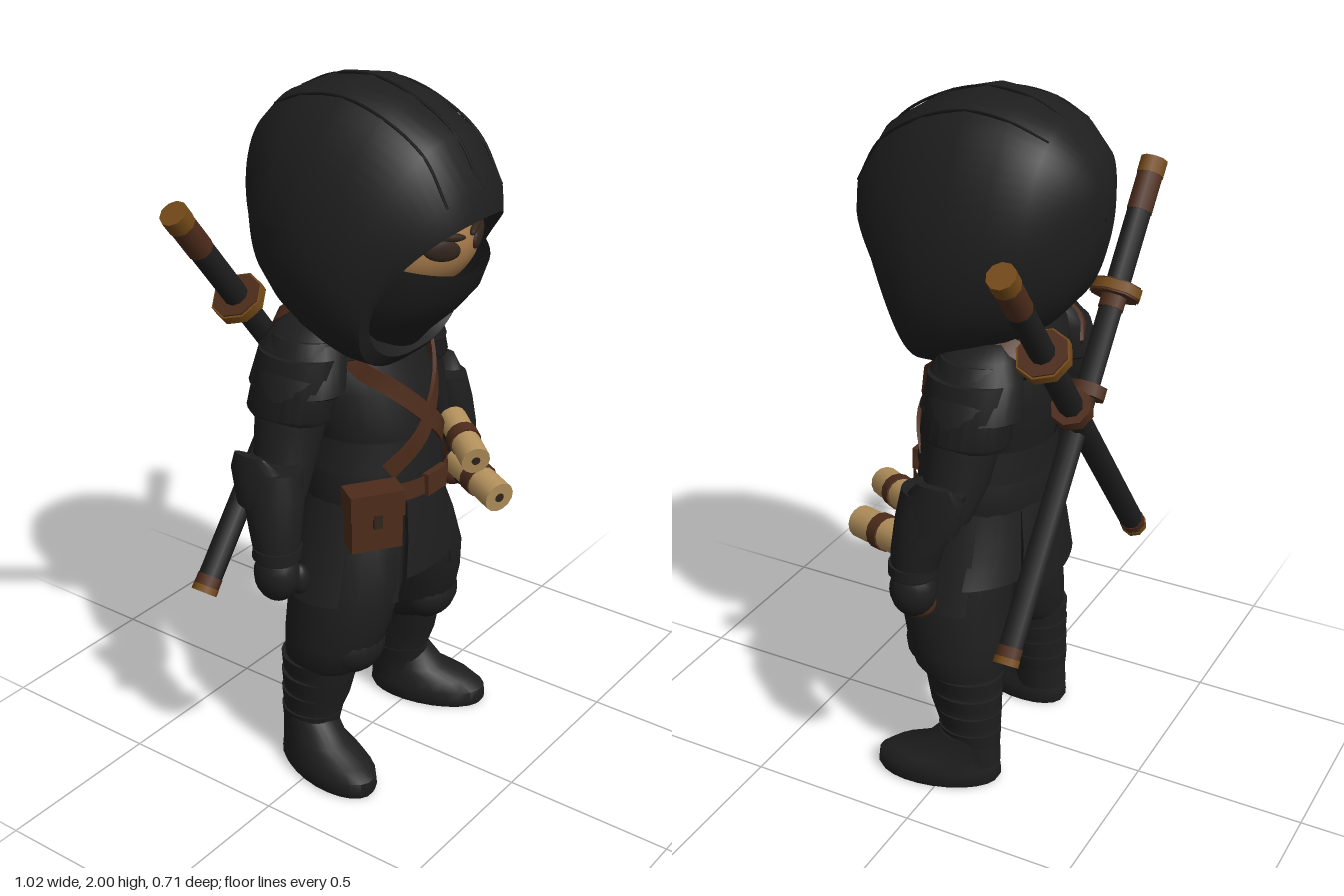
import * as THREE from 'three';
import { toCreasedNormals } from 'three/addons/utils/BufferGeometryUtils.js';

const V = (x, y, z) => new THREE.Vector3(x, y, z);
const mat = (name, color) => {
  const m = new THREE.MeshStandardMaterial({ color, side: THREE.DoubleSide });
  m.name = name;
  return m;
};

// Skin over a row of closed rings with equal point counts
function loft(rings, caps = true) {
  const n = rings[0].length, pos = [], idx = [];
  rings.forEach(r => r.forEach(p => pos.push(p.x, p.y, p.z)));
  for (let i = 0; i < rings.length - 1; i++) for (let j = 0; j < n; j++) {
    const k = (j + 1) % n, a = i * n + j, b = i * n + k, c = b + n, d = a + n;
    idx.push(a, b, c, a, c, d);
  }
  if (caps) [0, rings.length - 1].forEach((ri, top) => {
    const c = rings[ri].reduce((s, p) => s.add(p), V(0, 0, 0)).divideScalar(n);
    const ci = pos.length / 3;
    pos.push(c.x, c.y, c.z);
    for (let j = 0; j < n; j++) {
      const a = ri * n + j, b = ri * n + (j + 1) % n;
      top ? idx.push(ci, a, b) : idx.push(ci, b, a);
    }
  });
  const g = new THREE.BufferGeometry();
  g.setAttribute('position', new THREE.Float32BufferAttribute(pos, 3));
  g.setIndex(idx);
  return toCreasedNormals(g, 0.8);
}

// Horizontal ellipses: rows of [y, cx, cz, rx, rz], from low to high
const column = (rows, n = 24) => loft(rows.map(([y, cx, cz, rx, rz]) =>
  Array.from({ length: n }, (_, j) => {
    const a = j / n * Math.PI * 2;
    return V(cx + rx * Math.sin(a), y, cz + rz * Math.cos(a));
  })));

// Curved plate over an angle range: rows of [y, cz, rx, rz, edgeRise]; 0 is the front
function plate(a0, a1, rows, thick = 0.015, n = 14) {
  const arc = ([y, cz, rx, rz, rise = 0], t) => Array.from({ length: n + 1 }, (_, j) => {
    const a = a0 + (a1 - a0) * j / n;
    return V((rx - t) * Math.sin(a), y + rise * Math.sin(a) ** 2, cz + (rz - t) * Math.cos(a));
  });
  return loft(rows.map(r => [...arc(r, 0), ...arc(r, thick).reverse()]), false);
}

export function createModel() {
  const root = new THREE.Group();
  const cloth = mat('black cloth', 0x1e1e1e), seam = mat('dark seam', 0x151515);
  const leather = mat('brown leather', 0x4d2c1b), gold = mat('aged brass', 0x744a18);
  const skin = mat('skin', 0xa67a4c), eyeDark = mat('eye shadow', 0x32251c);
  const paper = mat('scroll paper', 0xb5925d);
  const add = (name, geo, m, parent = root) => {
    const o = new THREE.Mesh(geo, m);
    o.name = name;
    parent.add(o);
    return o;
  };
  const blob = (name, p, r, m, parent) => {
    const o = add(name, new THREE.SphereGeometry(1, 18, 12), m, parent);
    o.position.set(...p);
    o.scale.set(...r);
    return o;
  };
  const rod = (name, a, b, r, m, parent = root, sides = 14) => {
    const o = add(name, new THREE.CylinderGeometry(r, r, a.distanceTo(b), sides), m, parent);
    o.position.copy(a).lerp(b, 0.5);
    o.quaternion.setFromUnitVectors(V(0, 1, 0), b.clone().sub(a).normalize());
    return o;
  };

  // Hood: tilted sections [topZ, topY, bottomZ, bottomY, halfWidth, egg, bow] from face rim to back
  const sections = [
    [0.29, 1.68, 0.12, 1.31, 0.215, 0, 0.06], [0.35, 1.685, 0.15, 1.28, 0.235, 0.02, 0.07],
    [0.338, 1.76, 0.12, 1.25, 0.262, 0.1, 0.05], [0.26, 1.885, 0.06, 1.26, 0.288, 0.18, 0.02],
    [0.13, 1.965, 0, 1.28, 0.3, 0.2, 0], [0, 2, -0.06, 1.31, 0.3, 0.2, 0],
    [-0.13, 1.985, -0.14, 1.35, 0.283, 0.14, 0], [-0.23, 1.94, -0.21, 1.4, 0.245, 0.1, 0],
    [-0.305, 1.87, -0.27, 1.47, 0.175, 0.05, 0], [-0.333, 1.8, -0.315, 1.57, 0.09, 0, 0],
    [-0.337, 1.7, -0.337, 1.69, 0.005, 0, 0]];
  const hoodPoint = ([tz, ty, bz, by, w, egg, bow], a) => {
    const c = Math.cos(a), s = Math.sin(a), t = (1 - c) / 2;
    const wide = Math.sign(s) * Math.abs(s) ** 0.72;
    return V(w * wide * (1 - egg * c), ty + (by - ty) * t, tz + (bz - tz) * t - bow * s * s);
  };
  add('hood', loft(sections.map(s => Array.from({ length: 56 }, (_, j) =>
    hoodPoint(s, -j / 56 * Math.PI * 2))), false), cloth);
  for (const a of [-0.42, 0, 0.42]) {
    const pts = sections.slice(2, 8).map(s => hoodPoint(s, a).add(V(0, -0.002, 0)));
    add('hoodSeam', new THREE.TubeGeometry(new THREE.CatmullRomCurve3(pts), 30, 0.004, 5), seam);
  }

  // Face, eyes and mask
  const face = new THREE.Group();
  face.name = 'face';
  face.position.set(0, 1.6, 0.075);
  root.add(face);
  add('faceSkin', new THREE.SphereGeometry(1, 32, 20), skin, face).scale.set(0.22, 0.16, 0.225);
  for (const s of [-1, 1]) {
    const eye = blob('eye', [s * 0.084, 0.008, 0.202], [0.06, 0.03, 0.014], eyeDark, face);
    eye.rotation.set(0, s * 0.4, s * 0.25);
    const brow = blob('brow', [s * 0.08, 0.04, 0.198], [0.075, 0.014, 0.014], eyeDark, face);
    brow.rotation.set(-0.3, s * 0.38, s * 0.28);
  }
  add('mask', plate(-1.57, 1.57, [[1.28, 0.08, 0.06, 0.05], [1.33, 0.08, 0.13, 0.09],
    [1.4, 0.09, 0.185, 0.155], [1.47, 0.1, 0.213, 0.205, 0.01], [1.535, 0.1, 0.222, 0.232, 0.045]], 0.015, 24), cloth);

  // Torso and cowl
  const torso = [[0.8, 0, 0, 0.2, 0.17], [0.95, 0, 0, 0.19, 0.175], [1.05, 0, -0.005, 0.19, 0.185],
    [1.18, 0, -0.035, 0.215, 0.182], [1.28, 0, -0.055, 0.2, 0.15], [1.36, 0, -0.06, 0.14, 0.12],
    [1.43, 0, -0.06, 0.09, 0.09]];
  add('torso', column(torso, 32), cloth);
  add('cowl', column([[1.25, 0, -0.05, 0.17, 0.165], [1.28, 0, -0.05, 0.225, 0.172],
    [1.34, 0, -0.05, 0.22, 0.16], [1.42, 0, -0.05, 0.17, 0.13]]), cloth);
  add('jacketHem', plate(-Math.PI, Math.PI, [[0.95, 0, 0.215, 0.195],
    [1.04, -0.005, 0.193, 0.19]], 0.015, 32), cloth);

  // Chest straps follow the torso, then run over the shoulders
  const chestZ = (x, y) => {
    const i = Math.max(1, torso.findIndex(r => r[0] >= y)), p = torso[i - 1], q = torso[i];
    const t = (y - p[0]) / (q[0] - p[0]), at = k => p[k] + (q[k] - p[k]) * t;
    return at(2) + at(4) * Math.sqrt(Math.max(0, 1 - (x / at(3)) ** 2));
  };
  const ribbon = (pts, width, thick) => {
    const curve = new THREE.CatmullRomCurve3(pts);
    return loft(Array.from({ length: 33 }, (_, i) => {
      const p = curve.getPointAt(i / 32), t = curve.getTangentAt(i / 32);
      const out = V(p.x, Math.max(0, p.y - 1.25) * 2, p.z + 0.05).normalize();
      const side = t.cross(out).normalize().multiplyScalar(width / 2);
      out.multiplyScalar(thick);
      return [p.clone().add(side), p.clone().add(side).add(out),
        p.clone().sub(side).add(out), p.clone().sub(side)];
    }));
  };
  for (const s of [-1, 1]) {
    const pts = [];
    for (let i = 0; i <= 6; i++) {
      const x = -0.13 + 0.28 * i / 6, y = 0.96 + 0.29 * i / 6;
      pts.push(V(s * x, y, chestZ(x, y) + 0.01 + (s > 0 ? 0.007 : 0)));
    }
    pts.push(V(s * 0.175, 1.34, 0.01), V(s * 0.175, 1.385, -0.09),
      V(s * 0.16, 1.34, -0.2), V(s * 0.12, 1.28, -0.22));
    add('chestStrap', ribbon(pts, 0.05, 0.01), leather);
  }

  // Sash, belt and skirt panels
  add('sash', column([[0.83, 0, 0, 0.215, 0.185], [0.88, 0, 0, 0.222, 0.195], [0.95, 0, 0, 0.205, 0.185]]), cloth);
  add('belt', plate(-0.85, 1.15, [[0.87, 0, 0.23, 0.207], [0.925, 0, 0.225, 0.205]], 0.02), leather);
  add('buckle', new THREE.BoxGeometry(0.09, 0.065, 0.02), leather).position.set(0.01, 0.897, 0.206);
  const skirt = (a0, a1, y, grow) => plate(a0, a1,
    [[y, 0, 0.305 + grow, 0.21 + grow], [0.75, 0, 0.25 + grow, 0.2 + grow], [0.88, 0, 0.21, 0.187]]);
  add('frontFlap', skirt(-0.38, 0.38, 0.635, 0.008), cloth);
  add('backFlap', skirt(Math.PI - 0.55, Math.PI + 0.55, 0.61, 0.015), cloth);
  for (const s of [-1, 1]) {
    add('frontPanel', skirt(s * 0.46, s * 1.25, 0.565, 0), cloth);
    add('sidePanel', skirt(s * 1.15, s * 1.95, 0.58, 0.008), cloth);
    add('rearPanel', skirt(s * 1.9, s * 2.65, 0.66, 0), cloth);
  }

  // Limbs, built for the left side and mirrored
  for (const s of [1, -1]) {
    const limb = new THREE.Group();
    limb.name = s > 0 ? 'leftLimbs' : 'rightLimbs';
    limb.scale.x = s;
    root.add(limb);
    const part = (name, rows) => add(name, column(rows), cloth, limb);
    part('trouserLeg', [[0.33, 0.205, -0.03, 0.09, 0.11], [0.37, 0.195, -0.01, 0.118, 0.135],
      [0.43, 0.185, 0, 0.125, 0.15], [0.5, 0.172, 0.01, 0.133, 0.16], [0.6, 0.15, 0.02, 0.143, 0.165],
      [0.72, 0.125, 0.01, 0.125, 0.165], [0.84, 0.1, 0, 0.1, 0.15]]);
    blob('kneePad', [0.185, 0.42, 0.07], [0.1, 0.09, 0.085], cloth, limb);
    part('shin', [[0.06, 0.222, -0.065, 0.07, 0.085], [0.15, 0.222, -0.06, 0.072, 0.085],
      [0.25, 0.216, -0.04, 0.083, 0.105], [0.36, 0.207, -0.025, 0.093, 0.115]]);
    for (let i = 0; i < 4; i++) {
      const y = 0.13 + i * 0.06, g = i * 0.006;
      part('shinWrap', [[y, 0.222 - g / 2, -0.06 + g, 0.073 + g, 0.088 + g],
        [y + 0.045, 0.222 - g / 2, -0.056 + g, 0.08 + g, 0.094 + g]]);
    }
    const boot = part('boot', [[0, 0, 0.03, 0.09, 0.178], [0.015, 0, 0.03, 0.097, 0.186],
      [0.05, 0, 0.03, 0.094, 0.182], [0.075, 0, 0.015, 0.084, 0.16], [0.1, 0, -0.03, 0.074, 0.115],
      [0.16, 0, -0.055, 0.068, 0.082]]);
    boot.position.set(0.247, 0, 0);
    boot.rotation.y = 0.25;
    part('sleeve', [[0.93, 0.35, -0.05, 0.066, 0.075], [1.02, 0.308, -0.065, 0.084, 0.09],
      [1.12, 0.275, -0.07, 0.095, 0.1], [1.25, 0.24, -0.07, 0.1, 0.12], [1.34, 0.2, -0.07, 0.08, 0.1]]);
    part('lowerShoulderPlate', [[1.13, 0.27, -0.075, 0.09, 0.12], [1.145, 0.272, -0.075, 0.096, 0.128],
      [1.3, 0.235, -0.07, 0.085, 0.12]]);
    part('upperShoulderPlate', [[1.195, 0.24, -0.075, 0.09, 0.13], [1.205, 0.24, -0.075, 0.106, 0.143],
      [1.3, 0.21, -0.075, 0.096, 0.13], [1.35, 0.19, -0.075, 0.073, 0.1], [1.38, 0.17, -0.08, 0.04, 0.06]]);
    part('forearmGuard', [[0.78, 0.432, 0, 0.058, 0.06], [0.86, 0.424, -0.01, 0.068, 0.072],
      [0.95, 0.404, -0.03, 0.077, 0.088], [1.03, 0.392, -0.045, 0.07, 0.09]]);
    part('elbowFlare', [[0.93, 0.422, -0.045, 0.06, 0.085], [1.02, 0.425, -0.065, 0.045, 0.085],
      [1.07, 0.445, -0.075, 0.012, 0.05]]);
    part('wristBand', [[0.79, 0.432, 0, 0.066, 0.068], [0.82, 0.43, 0, 0.066, 0.068]]);
    blob('hand', [0.435, 0.735, 0], [0.058, 0.078, 0.066], cloth, limb);
    blob('thumb', [0.395, 0.715, 0.045], [0.027, 0.045, 0.027], cloth, limb);
    blob('fingers', [0.422, 0.69, -0.008], [0.046, 0.042, 0.05], leather, limb);
  }

  // Belt pouch
  const pouch = new THREE.Group();
  pouch.name = 'pouch';
  pouch.position.set(-0.212, 0.86, 0.157);
  pouch.rotation.y = -0.6;
  root.add(pouch);
  add('pouchBody', new THREE.BoxGeometry(0.145, 0.17, 0.07), leather, pouch);
  add('pouchFlap', new THREE.BoxGeometry(0.155, 0.075, 0.082), leather, pouch).position.y = 0.05;
  add('pouchClasp', new THREE.BoxGeometry(0.025, 0.04, 0.09), eyeDark, pouch).position.y = 0.005;

  // Scrolls tied at the hip
  const scrolls = [[V(0.315, 0.925, 0.06), V(0.19, 0.885, 0.225), 0.043],
    [V(0.32, 0.795, 0.08), V(0.235, 0.765, 0.28), 0.047]];
  for (const [a, b, r] of scrolls) {
    rod('scroll', a, b, r, paper);
    const at = t => a.clone().lerp(b, t);
    rod('scrollTie', at(0.4), at(0.58), r + 0.005, leather);
    rod('scrollCore', at(-0.01), at(1.01), r * 0.3, eyeDark);
  }

  // Crossed swords on the back
  for (const s of [-1, 1]) {
    const sword = new THREE.Group();
    sword.name = s < 0 ? 'rightSword' : 'leftSword';
    sword.position.set(s * 0.03, 1.135, s < 0 ? -0.27 : -0.284);
    sword.rotation.z = -s * 0.667;
    root.add(sword);
    const piece = (name, y0, y1, r, m, sides = 8) => rod(name, V(0, y0, 0), V(0, y1, 0), r, m, sword, sides);
    piece('scabbard', -0.69, 0.34, 0.035, cloth);
    piece('scabbardTip', -0.715, -0.675, 0.037, leather);
    piece('scabbardTipCap', -0.725, -0.705, 0.038, gold);
    piece('scabbardRing', 0.03, 0.065, 0.058, leather);
    piece('scabbardMouth', 0.285, 0.325, 0.038, leather);
    piece('guardRim', 0.325, 0.352, 0.076, gold);
    piece('guardFaces', 0.32, 0.357, 0.07, leather);
    piece('grip', 0.35, 0.7, 0.035, cloth, 10);
    piece('gripBand', 0.57, 0.685, 0.037, leather, 10);
    piece('pommel', 0.678, 0.725, 0.039, gold, 10);
  }
  return root;
}
